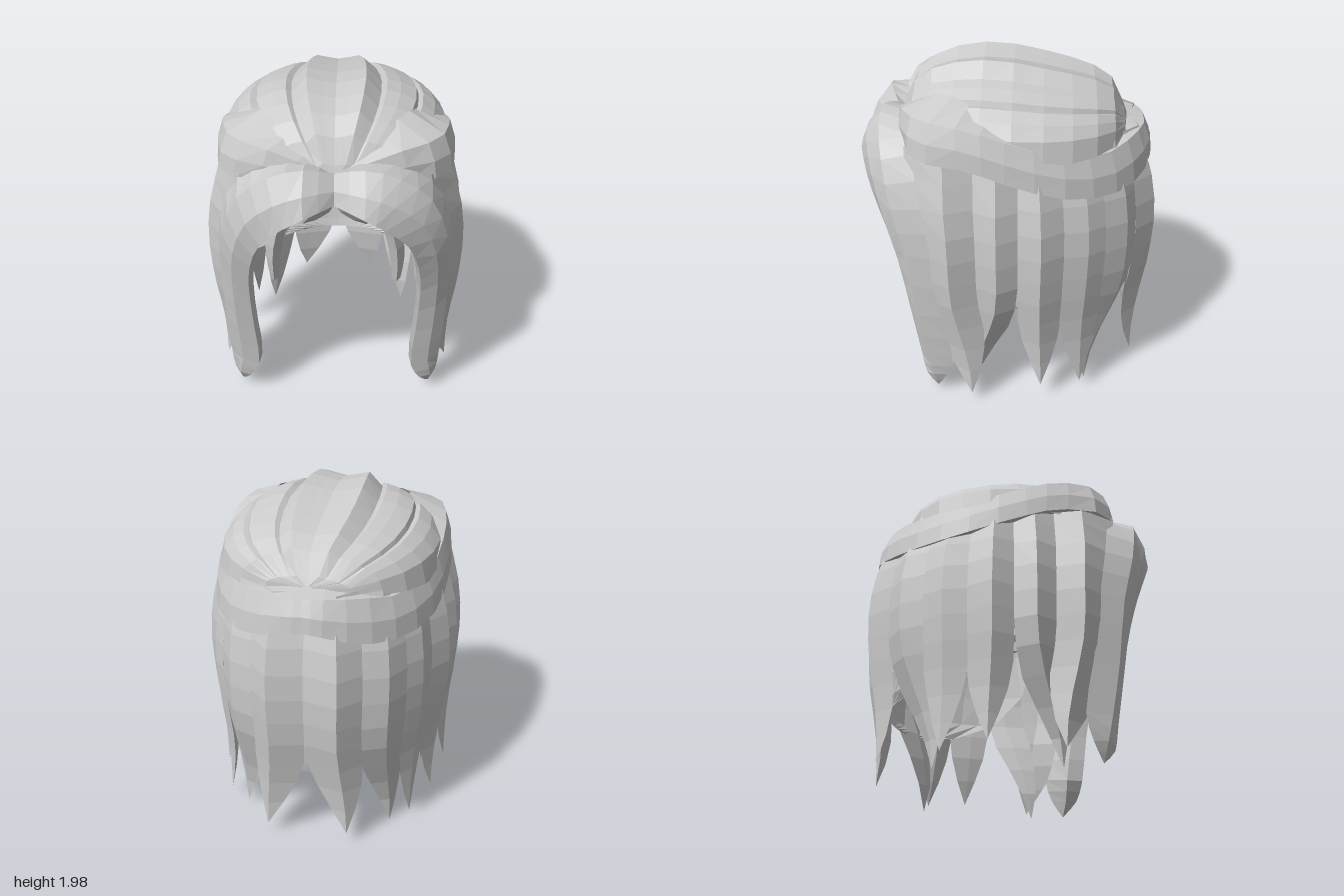
import * as THREE from 'three';

const V = (a) => new THREE.Vector3(a[0], a[1], a[2]);

// Piecewise linear lookup in [[key, value], ...] with rising keys
function lookup(table, k) {
  if (k <= table[0][0]) return table[0][1];
  for (let i = 1; i < table.length; i++) {
    const [k0, v0] = table[i - 1], [k1, v1] = table[i];
    if (k <= k1) return v0 + (v1 - v0) * (k - k0) / (k1 - k0);
  }
  return table[table.length - 1][1];
}

// Faceted skin over rows of points
function loft(rows, closed) {
  const pos = [];
  const tri = (a, b, c) => pos.push(...a, ...b, ...c);
  for (let i = 0; i < rows.length - 1; i++) {
    const p = rows[i], q = rows[i + 1], n = p.length;
    for (let j = 0; j < (closed ? n : n - 1); j++) {
      const k = (j + 1) % n;
      tri(p[j], q[j], q[k]);
      tri(p[j], q[k], p[k]);
    }
  }
  const g = new THREE.BufferGeometry();
  g.setAttribute('position', new THREE.Float32BufferAttribute(pos, 3));
  g.computeVertexNormals();
  return g;
}

// Resample rows along smooth curves through each column
function smoothRows(rows, count) {
  const cols = rows[0].map((_, j) => new THREE.CatmullRomCurve3(rows.map((r) => V(r[j]))));
  return Array.from({ length: count + 1 }, (_, i) => cols.map((c) => c.getPoint(i / count).toArray()));
}

export function createModel() {
  const model = new THREE.Group();
  const hair = new THREE.MeshStandardMaterial({ color: 0xcccccc, side: THREE.DoubleSide });
  hair.name = 'hairGrey';

  const add = (name, rows, closed) => {
    const m = new THREE.Mesh(loft(rows, closed), hair);
    m.name = name;
    model.add(m);
  };
  const addPair = (name, rows, closed) => {
    add(name + 'Left', rows, closed);
    add(name + 'Right', rows.map((r) => r.map(([x, y, z]) => [-x, y, z]).reverse()), closed);
  };

  // Inner shell: scalp and back curtain (height, scale, half sweep as a share of a half turn)
  const shell = [[1.84, 0.01, 1], [1.79, 0.42, 1], [1.71, 0.68, 1], [1.62, 0.82, 1], [1.5, 0.88, 1],
    [1.38, 0.92, 0.76], [1.15, 0.95, 0.68], [0.85, 0.95, 0.63], [0.65, 0.93, 0.54], [0.53, 0.9, 0.4], [0.47, 0.88, 0.22]];
  add('innerShell', shell.map(([y, k, span]) =>
    Array.from({ length: 21 }, (_, j) => {
      const a = Math.PI * span * (j / 10 - 1);
      return [0.67 * k * Math.sin(a), y, -0.1 - 0.7 * k * Math.cos(a)];
    })), false);

  // Hanging locks: ridge (x, z), tip (x, y, z); valleys lie between the ridges
  const locks = [
    [0.20, -0.87, 0.24, 0.10, -0.77],
    [0.46, -0.69, 0.455, 0.015, -0.47],
    [0.62, -0.46, 0.57, 0.08, -0.44],
    [0.74, -0.19, 0.67, 0.12, -0.20],
    [0.76, 0.06, 0.56, 0.015, 0.22],
    [0.755, 0.33, 0.71, 0.08, 0.21],
  ];
  const valleys = [[0, -0.82], [0.32, -0.75], [0.54, -0.56], [0.65, -0.32],
    [0.69, -0.06], [0.69, 0.18], [0.61, 0.54]];
  const swell = [[0, 0.89], [0.5, 0.95], [0.8, 0.985], [1.05, 1], [1.25, 0.98], [1.4, 0.93], [1.62, 0.85]];
  locks.forEach(([px, pz, tx, ty, tz], i) => {
    const rows = [];
    for (let r = 0; r <= 10; r++) {
      const y = 1.62 + (ty - 1.62) * r / 10;
      const s = lookup(swell, y);
      const bend = 1 - THREE.MathUtils.smoothstep(y, ty, 0.8);
      const w = Math.pow(Math.min(1, (y - ty) / (0.5 - ty)), 0.85);
      const at = (x, z) => [
        (px * (1 - w) + x * w) * s * (1 - bend) + (tx + (x - px) * w) * bend, y,
        (pz * (1 - w) + z * w) * s * (1 - bend) + (tz + (z - pz) * w) * bend
          + Math.max(0, z) * 0.4 * Math.max(0, y - 1.1)];
      const ridge = [px * s * (1 - bend) + tx * bend, y, at(px, pz)[2]];
      rows.push([at(px * 0.9, pz * 0.9), at(...valleys[i + 1]), ridge, at(...valleys[i])]);
    }
    addPair('hangingLock' + (i + 1), rows, true);
  });

  // Crown locks fanning from the forehead to the back of the head
  const height = [[-0.68, 1.64], [-0.6, 1.81], [-0.5, 1.87], [-0.3, 1.93], [0, 1.99],
    [0.2, 2], [0.4, 1.96], [0.5, 1.9], [0.58, 1.82], [0.64, 1.64]];
  const crown = [
    [[0, 1.965], [0.08, 1.98], [0.17, 2.0], [0.28, 1.89]],
    [[0.24, 1.9], [0.29, 1.93], [0.37, 1.91], [0.46, 1.87], [0.5, 1.76]],
    [[0.44, 1.83], [0.5, 1.84], [0.57, 1.79], [0.63, 1.71], [0.66, 1.55]],
  ];
  crown.forEach((profile, i) => {
    const rows = [];
    for (let r = 0; r <= 12; r++) {
      const t = r / 12;
      const z = -0.02 + 0.66 * Math.cos(Math.PI * t);
      const w = Math.pow(Math.max(Math.sin(Math.PI * t), 0.02), 0.75);
      const lift = (lookup(height, z) - 1.62) / 0.38;
      rows.push(profile.map(([x, y]) => [x * w, 1.62 + (y - 1.62) * lift, z]).reverse());
    }
    addPair('crownLock' + (i + 1), rows, false);
  });

  // Band of hair swept round the head: inner, upper and lower edges
  const band = [
    [[0.01, 1.66, 0.60], [0.03, 1.66, 0.64], [0.03, 1.55, 0.64]],
    [[0.22, 1.80, 0.50], [0.32, 1.77, 0.61], [0.36, 1.60, 0.61]],
    [[0.38, 1.875, 0.34], [0.56, 1.79, 0.47], [0.61, 1.58, 0.50]],
    [[0.45, 1.83, 0.18], [0.635, 1.77, 0.23], [0.68, 1.55, 0.21]],
    [[0.50, 1.73, -0.03], [0.645, 1.70, 0.0], [0.69, 1.48, 0.0]],
    [[0.48, 1.63, -0.27], [0.60, 1.61, -0.28], [0.65, 1.38, -0.30]],
    [[0.38, 1.58, -0.47], [0.47, 1.57, -0.53], [0.51, 1.34, -0.57]],
    [[0.23, 1.61, -0.60], [0.28, 1.60, -0.70], [0.31, 1.36, -0.75]],
    [[0.08, 1.63, -0.66], [0.09, 1.61, -0.78], [0.09, 1.42, -0.83]],
    [[0, 1.63, -0.66], [0, 1.61, -0.78], [0, 1.43, -0.83]],
  ].map(([n, u, l]) => [n, u,
    [(u[0] + l[0]) * 0.51, (u[1] + l[1]) / 2, (u[2] + l[2]) * 0.51],
    l, [l[0] * 0.88, l[1] + 0.02, l[2] * 0.88]]);
  addPair('sweptBand', smoothRows(band, 16).map((r) => r.reverse()), false);

  // Parted fringe: back edge, outer ridge, front ridge, inner edge; a bulge is added between the ridges
  const fringe = [
    [[0, 1.64, 0.61], [0, 1.68, 0.67], [0, 1.53, 0.75], [0, 1.50, 0.66]],
    [[0.15, 1.71, 0.59], [0.16, 1.73, 0.73], [0.16, 1.51, 0.865], [0.12, 1.48, 0.74]],
    [[0.34, 1.70, 0.56], [0.35, 1.68, 0.73], [0.27, 1.44, 0.85], [0.24, 1.44, 0.72]],
    [[0.53, 1.58, 0.53], [0.52, 1.54, 0.70], [0.40, 1.30, 0.79], [0.36, 1.34, 0.66]],
    [[0.65, 1.30, 0.48], [0.62, 1.28, 0.65], [0.47, 1.10, 0.71], [0.44, 1.12, 0.60]],
    [[0.68, 1.00, 0.43], [0.65, 1.00, 0.58], [0.49, 0.90, 0.65], [0.475, 0.90, 0.55]],
    [[0.67, 0.60, 0.38], [0.65, 0.60, 0.53], [0.48, 0.55, 0.58], [0.47, 0.55, 0.48]],
    [[0.65, 0.30, 0.33], [0.64, 0.30, 0.48], [0.47, 0.25, 0.54], [0.46, 0.25, 0.44]],
    [[0.63, 0.15, 0.37], [0.63, 0.15, 0.45], [0.53, 0.13, 0.51], [0.52, 0.13, 0.44]],
    [[0.59, 0.04, 0.43], [0.59, 0.04, 0.43], [0.59, 0.04, 0.43], [0.59, 0.04, 0.43]],
  ].map(([u, r, l, n], i) => {
    const k = i < 9 ? 0.515 : 0.5;
    return [u, r, [(r[0] + l[0]) * k, (r[1] + l[1]) / 2, (r[2] + l[2]) * k], l, n];
  });
  addPair('fringe', smoothRows(fringe, 18).map((r) => r.reverse()), true);

  // Thin strands inside the fringe, beside the face
  const strand = [[0.10, 1.47, 0.60, 0.03], [0.25, 1.39, 0.58, 0.04], [0.33, 1.22, 0.55, 0.045],
    [0.36, 1.02, 0.51, 0.04], [0.36, 0.85, 0.47, 0.025]];
  addPair('innerStrand', smoothRows(strand.map(([x, y, z, w]) =>
    [[x - w, y - w * 0.3, z - 0.02], [x, y, z + w * 0.5], [x + w, y + w * 0.3, z - 0.02]]), 8), false);

  // Small tufts at the parting, one hanging and one lying on top
  const tufts = [
    ['hangingTuft', [0.02, 1.49, 0.60, 0.03], [0.09, 1.41, 0.56, 0.06], [0.15, 1.33, 0.53, 0.045], [0.18, 1.27, 0.51, 0.005]],
    ['partingTuft', [0.0, 1.52, 0.65, 0.01], [0.07, 1.54, 0.66, 0.025], [0.13, 1.53, 0.66, 0.025], [0.2, 1.49, 0.64, 0.004]],
  ];
  for (const [name, ...path] of tufts) {
    addPair(name, path.map(([x, y, z, w]) =>
      [[x - w, y - w * 0.6, z], [x, y, z + w * 0.6], [x + w, y + w * 0.6, z], [x, y, z - w * 0.6]]), true);
  }
  return model;
}
